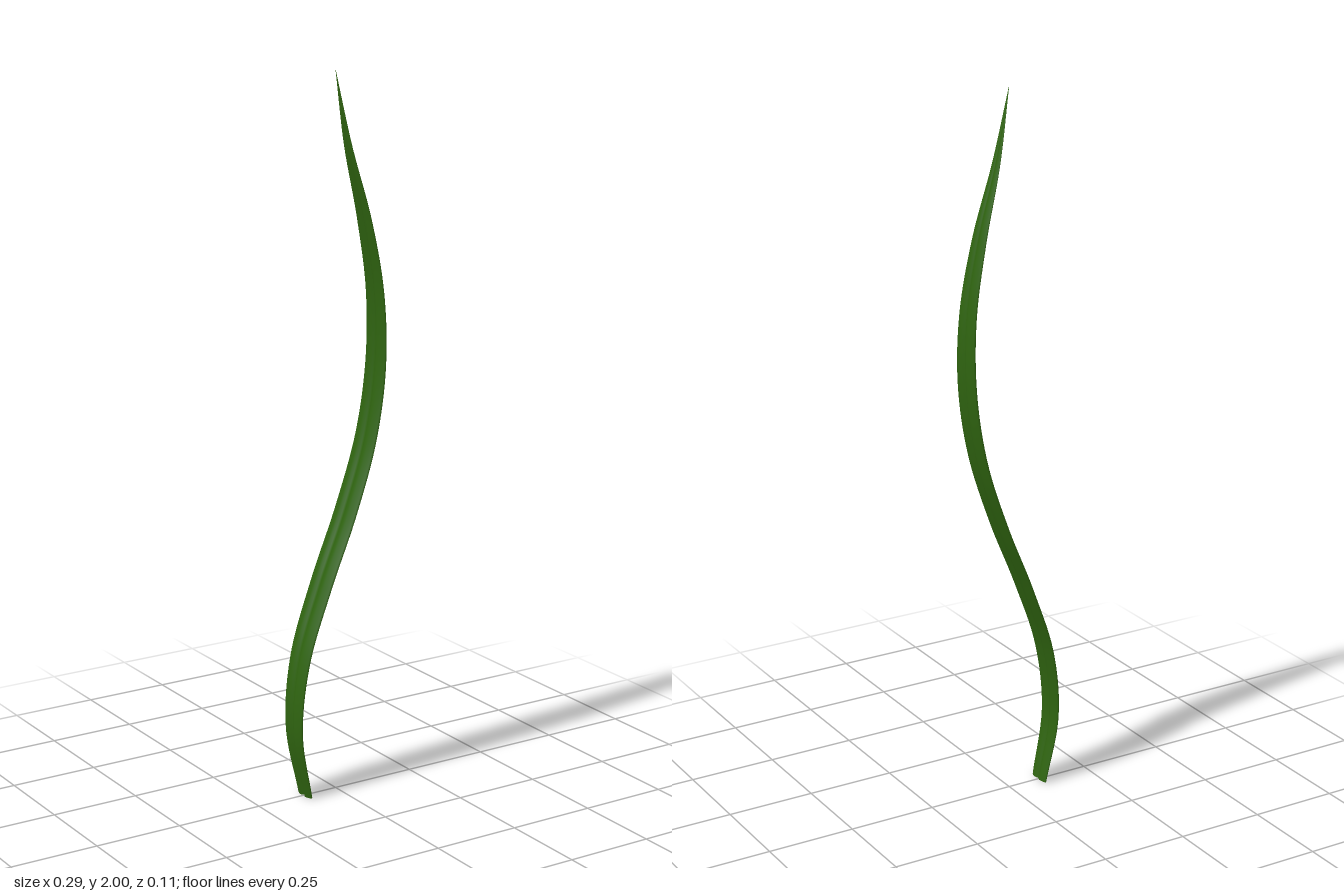
import * as THREE from 'three';

// Centreline and half-width of the leaf: [x, y, half-width]
const STATIONS = [
  [-0.100, 0.003, 0.036], [-0.135, 0.2, 0.044], [-0.115, 0.4, 0.050], [-0.048, 0.6, 0.053],
  [0.033, 0.8, 0.0535], [0.098, 1.0, 0.052], [0.129, 1.2, 0.050], [0.126, 1.4, 0.0445],
  [0.091, 1.6, 0.036], [0.039, 1.8, 0.020], [0.0, 2.0, 0.0004],
];

// Quarter of the cross-section, midrib groove to thin edge: [across, thickness]
const QUARTER = [[0, 0.08], [0.1, 0.13], [0.22, 0.2], [0.38, 0.23], [0.55, 0.2], [0.75, 0.13], [0.92, 0.06], [1, 0]];

// Mirror the quarter into a closed outline running from the +thickness side to +z
function sectionOutline() {
  const back = QUARTER.slice(0, -1).reverse();
  const half = [...QUARTER, ...back.map(([z, n]) => [z, -n])];
  const other = half.slice(1, -1).reverse().map(([z, n]) => [-z, n]);
  return [...half, ...other];
}

function leafGeometry(rows = 96) {
  const path = new THREE.CatmullRomCurve3(STATIONS.map(([x, y]) => new THREE.Vector3(x, y, 0)));
  const widths = new THREE.CatmullRomCurve3(STATIONS.map(([, y, w]) => new THREE.Vector3(w, y, 0)));
  const outline = sectionOutline();
  const count = outline.length;
  const positions = [], index = [];

  const addRing = (t) => {
    const p = path.getPoint(t), d = path.getTangent(t), w = widths.getPoint(t).x;
    for (const [z, n] of outline) {
      positions.push(p.x + d.y * n * w, Math.max(0, p.y - d.x * n * w), z * w);
    }
  };

  for (let r = 0; r <= rows; r++) addRing(r / rows);
  for (let r = 0; r < rows; r++) {
    for (let i = 0; i < count; i++) {
      const a = r * count + i, b = r * count + (i + 1) % count;
      index.push(a, a + count, b, b, a + count, b + count);
    }
  }

  // Flat cut at the base, with its own vertices for a sharp rim
  const base = positions.length / 3;
  addRing(0);
  positions.push(STATIONS[0][0], STATIONS[0][1], 0);
  for (let i = 0; i < count; i++) index.push(base + count, base + i, base + (i + 1) % count);

  const geometry = new THREE.BufferGeometry();
  geometry.setAttribute('position', new THREE.Float32BufferAttribute(positions, 3));
  geometry.setIndex(index);
  geometry.computeVertexNormals();
  return geometry;
}

export function createModel() {
  const group = new THREE.Group();
  group.name = 'grassBlade';
  const leaf = new THREE.Mesh(leafGeometry(), new THREE.MeshStandardMaterial({ color: 0x2f6410 }));
  leaf.name = 'leaf';
  group.add(leaf);
  return group;
}
